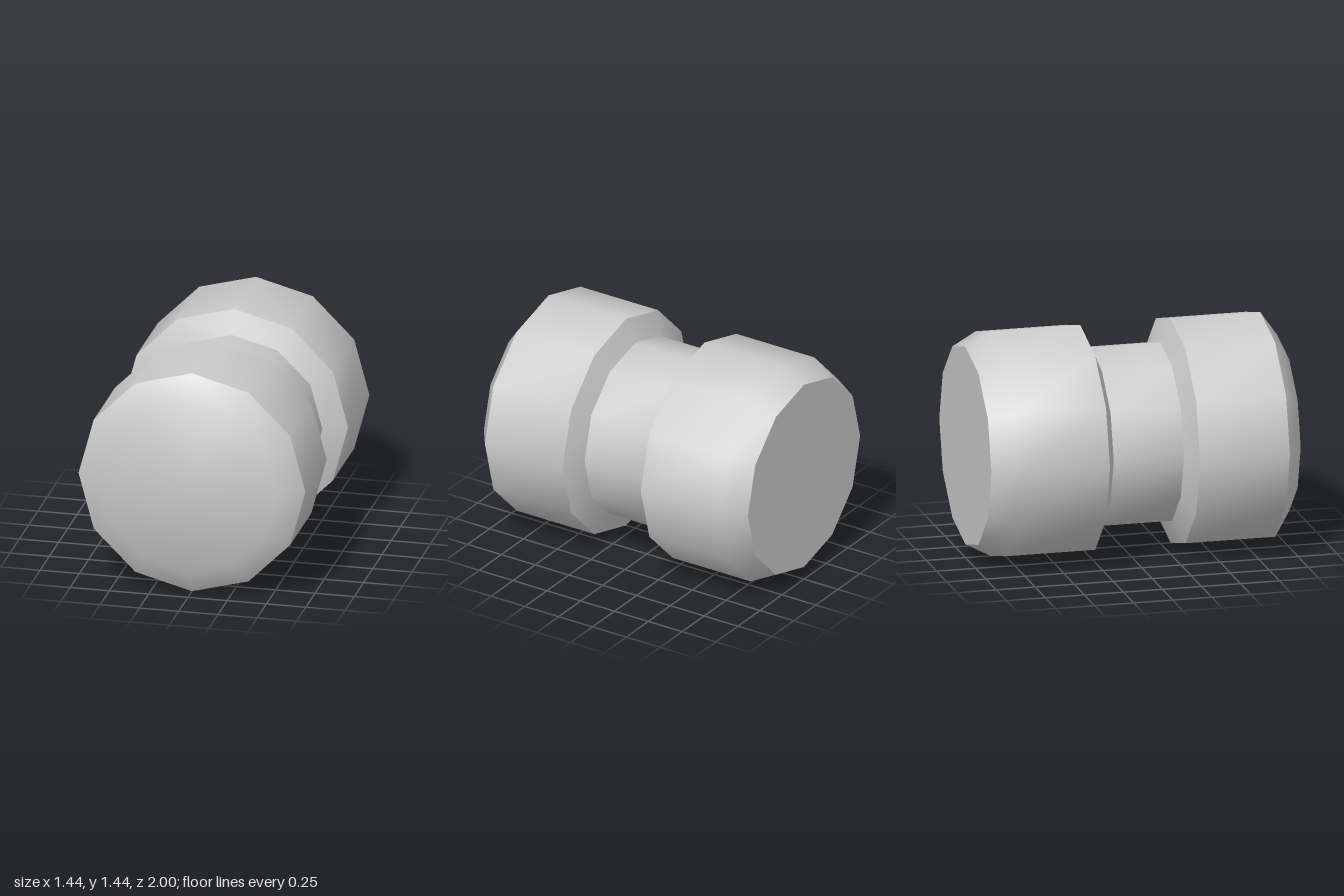
import * as THREE from 'three';
import { toCreasedNormals } from 'three/addons/utils/BufferGeometryUtils.js';

export function createModel() {
  const group = new THREE.Group();
  group.name = 'groovedRoller';
  const radius = 0.722;

  // Profile of [radius, z], from the back cap to the front cap
  const profile = [
    [0, -1], [0.637, -1], [radius, -0.84],             // back cap and taper
    [radius, -0.263], [0.573, -0.2],                   // back barrel into groove
    [0.573, 0.25], [radius, 0.315],                    // groove into front barrel
    [radius, 0.89], [0.565, 1], [0, 1],                // front bevel and cap
  ].map(([r, z]) => new THREE.Vector2(r, z));

  // Twelve-sided turned body, laid along z
  const lathe = new THREE.LatheGeometry(profile, 12).rotateX(Math.PI / 2);
  const geometry = toCreasedNormals(lathe, THREE.MathUtils.degToRad(42));
  const body = new THREE.Mesh(geometry, new THREE.MeshStandardMaterial({ color: 0xcccccc }));
  body.name = 'rollerBody';
  body.position.y = radius;
  group.add(body);
  return group;
}
